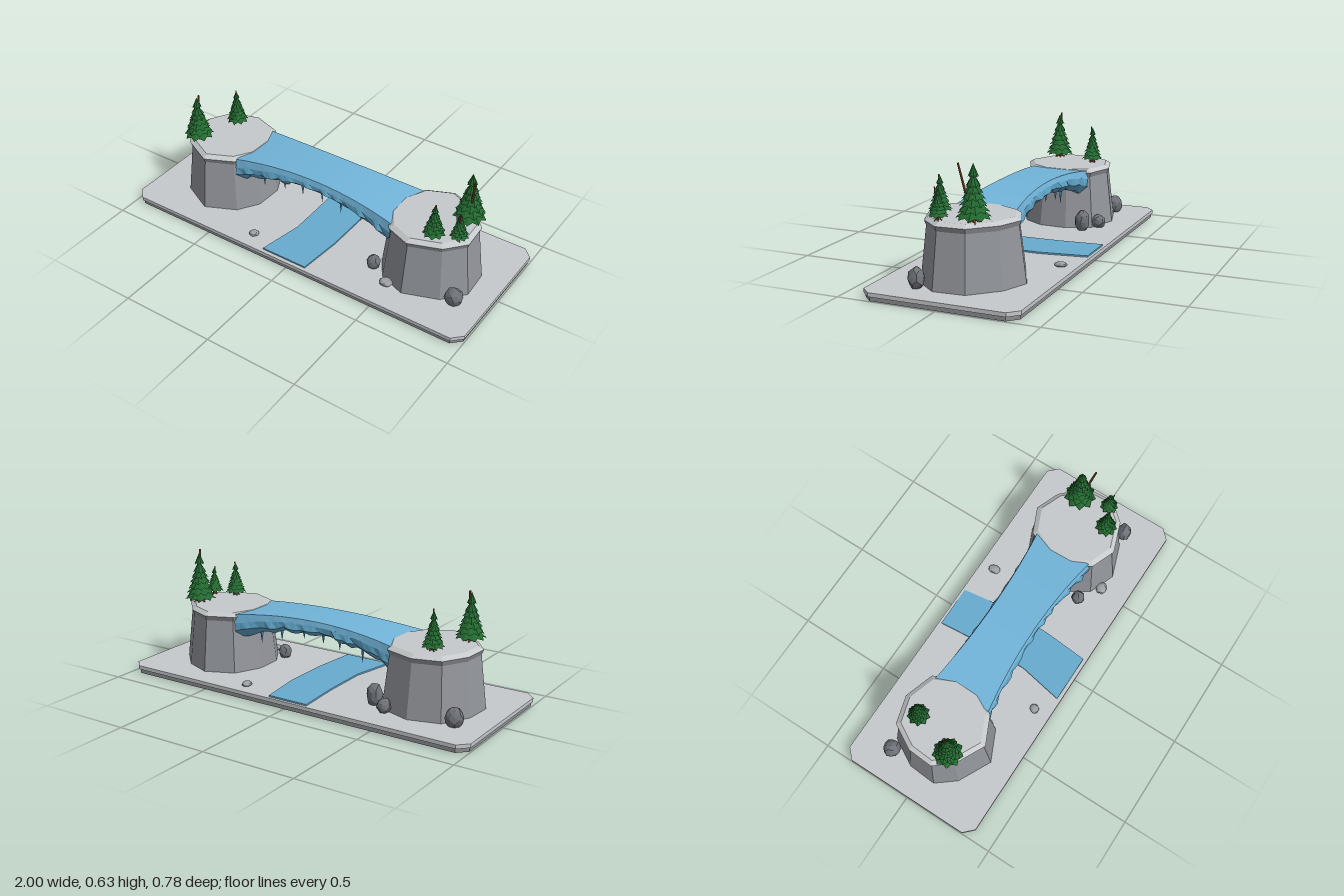
import * as THREE from 'three';

const mat = (name, color, extra = {}) => {
  const m = new THREE.MeshStandardMaterial({ color, flatShading: true, ...extra });
  m.name = name;
  return m;
};
const M = {
  snow: mat('pale snow', 0xc6c9cb),
  stone: mat('cliff stone', 0x92959b),
  plinth: mat('plinth grey', 0x8a8d91),
  rock: mat('dark rock', 0x6e7278),
  pebble: mat('pebble grey', 0x9da1a5),
  ice: mat('ice', 0x72b5da),
  deepIce: mat('deep ice', 0x5fa5c9),
  water: mat('frozen stream', 0x68abd0),
  needles: mat('pine green', 0x22672f, { side: THREE.DoubleSide }),
  bark: mat('bark', 0x7d4c2a),
};

// repeatable small variation in -1..1
const wobble = (n) => {
  const s = Math.sin(n * 127.1 + 3.7) * 43758.5453;
  return (s - Math.floor(s)) * 2 - 1;
};

function add(parent, name, geometry, material) {
  const mesh = new THREE.Mesh(geometry, material);
  mesh.name = name;
  parent.add(mesh);
  return mesh;
}

// Skin closed rings of [x, y, z]; optional flat fans close the ends
function loft(rings, capStart, capEnd) {
  const pos = [];
  const n = rings[0].length;
  const tri = (...p) => p.forEach((v) => pos.push(...v));
  for (let i = 0; i < rings.length - 1; i++) {
    for (let j = 0; j < n; j++) {
      const k = (j + 1) % n;
      tri(rings[i][j], rings[i][k], rings[i + 1][k]);
      tri(rings[i][j], rings[i + 1][k], rings[i + 1][j]);
    }
  }
  const fan = (ring, flip) => {
    const c = [0, 1, 2].map((a) => ring.reduce((s, p) => s + p[a], 0) / n);
    ring.forEach((p, j) => {
      const q = ring[(j + 1) % n];
      flip ? tri(c, q, p) : tri(c, p, q);
    });
  };
  if (capStart) fan(rings[0], true);
  if (capEnd) fan(rings[rings.length - 1], false);
  const g = new THREE.BufferGeometry();
  g.setAttribute('position', new THREE.Float32BufferAttribute(pos, 3));
  g.computeVertexNormals();
  return g;
}

// Flat outline in x/z raised from y0 to y1
function slab(points, y0, y1) {
  const shape = new THREE.Shape(points.map(([x, z]) => new THREE.Vector2(x, -z)));
  return new THREE.ExtrudeGeometry(shape, { depth: y1 - y0, bevelEnabled: false })
    .rotateX(-Math.PI / 2).translate(0, y0, 0);
}

// Tapered rod between two points
function rod(a, b, r0, r1, sides = 6) {
  const from = new THREE.Vector3(...a);
  const dir = new THREE.Vector3(...b).sub(from);
  const len = dir.length();
  const q = new THREE.Quaternion().setFromUnitVectors(new THREE.Vector3(0, 1, 0), dir.normalize());
  return new THREE.CylinderGeometry(r1, r0, len, sides).translate(0, len / 2, 0)
    .applyQuaternion(q).translate(...a);
}

function makeCliff(name, cx, outline) {
  const g = new THREE.Group();
  g.name = name;
  const ring = (s, y) => outline.map(([x, z]) => [cx + (x - cx) * s, y, z * s]);
  add(g, 'cliffBody', loft([ring(1, 0.04), ring(0.87, 0.315), ring(0.91, 0.34)]), M.stone);
  add(g, 'snowCap', loft([ring(0.91, 0.34), ring(0.81, 0.357)], false, true), M.snow);
  return g;
}

function makeBridge() {
  const g = new THREE.Group();
  g.name = 'iceBridge';
  const deck = [], under = [];
  const steps = 26;
  for (let i = 0; i <= steps; i++) {
    const x = -0.47 + (0.94 * i) / steps;
    const t = (x / 0.47) ** 2;
    const top = 0.384 - 0.034 * t;
    const w = 0.122 + 0.036 * t;
    const rim = top - 0.026 - 0.02 * t;
    const low = 0.308 - 0.09 * t;
    const [a, b, c, d] = [1, 2, 3, 4].map((k) => wobble(i * 5 + k));
    const at = (y, z) => [x, y, z];
    deck.push([at(top, -w), at(top, w), at(rim + a * 0.004, w + 0.009), at(rim + b * 0.004, -w - 0.009)]);
    const mid = (rim + low) / 2;
    under.push([
      at(rim + 0.004, -w - 0.007), at(rim + 0.004, w + 0.007),
      at(mid + c * 0.007, w + 0.012 + a * 0.009), at(low + a * 0.01, w * 0.82),
      at(low + 0.012 + d * 0.006, 0),
      at(low + b * 0.01, -w * 0.82), at(mid + d * 0.007, -w - 0.012 + b * 0.009),
    ]);
  }
  add(g, 'bridgeDeck', loft(deck, true, true), M.ice);
  add(g, 'bridgeUnderside', loft(under, true, true), M.deepIce);
  // hanging icicles along both lower edges
  for (let i = 0; i < 12; i++) {
    const x = -0.33 + i * 0.06 + wobble(i) * 0.012;
    const y = 0.315 - 0.09 * (x / 0.47) ** 2;
    const len = 0.065 + wobble(i + 40) * 0.022;
    const z = (i % 2 ? -1 : 1) * (0.09 + wobble(i + 9) * 0.015);
    add(g, 'icicle', rod([x, y, z], [x, y - len, z], 0.009, 0.0005, 5), M.deepIce);
  }
  return g;
}

function makeTree(x, z, top, r, lean) {
  const g = new THREE.Group();
  g.name = 'pineTree';
  const ground = 0.355, start = ground + 0.02, h = top - start;
  const tiers = 7, points = 9;
  for (let k = 0; k < tiers; k++) {
    const f = k / tiers;
    const tierH = h * (0.3 - 0.06 * f);
    const y = start + f * (h - h * 0.2);
    const geo = new THREE.ConeGeometry(r * (1 - 0.8 * f), tierH, points * 2, 1, true);
    const p = geo.attributes.position;
    // alternate rim corners form drooping branch tips
    for (let i = 0; i < p.count; i++) {
      if (p.getY(i) > 0) continue;
      const inner = i % 2;
      if (inner) p.setXYZ(i, p.getX(i) * 0.8, p.getY(i) + tierH * 0.13, p.getZ(i) * 0.8);
    }
    geo.rotateY(k * 0.4).translate(x, y + tierH / 2, z);
    if (k === tiers - 1) geo.translate(0, top - y - tierH, 0);
    add(g, 'branches', geo, M.needles);
  }
  // leaning trunk that shows past the needles
  add(g, 'trunk', rod([x, ground - 0.01, z], [x + lean[0], top + lean[1], z + lean[2]], r * 0.1, r * 0.06), M.bark);
  for (let i = 0; i < 5; i++) {
    const a = (i / 5) * Math.PI * 2 + x * 9;
    const foot = [x + Math.cos(a) * r * 0.4, ground - 0.004, z + Math.sin(a) * r * 0.4];
    add(g, 'root', rod([x, ground + 0.022, z], foot, r * 0.09, r * 0.04, 5), M.bark);
  }
  return g;
}

// Uneven boulder resting on the base
function makeRock(x, z, rx, height, rz, material, seed) {
  const geo = new THREE.IcosahedronGeometry(1, 1);
  const p = geo.attributes.position;
  for (let i = 0; i < p.count; i++) {
    const [a, b, c] = [p.getX(i), p.getY(i), p.getZ(i)];
    const s = 1 + 0.1 * Math.sin(a * 5 + seed) * Math.cos(b * 4 + c * 3 + seed);
    p.setXYZ(i, a * s, b * s, c * s);
  }
  geo.scale(rx, height * 0.56, rz).rotateY(seed).translate(x, 0.04 + height * 0.44, z);
  geo.computeVertexNormals();
  return geo;
}

export function createModel() {
  const model = new THREE.Group();
  model.name = 'iceBridgeDiorama';

  // base with clipped corners
  const octagon = (x, z, c) => [
    [x, z - c], [x, c - z], [x - c, -z], [c - x, -z], [-x, c - z], [-x, z - c], [c - x, z], [x - c, z],
  ];
  add(model, 'basePlinth', slab(octagon(0.993, 0.383, 0.048), 0, 0.022), M.plinth);
  add(model, 'snowyGround', slab(octagon(1, 0.39, 0.05), 0.022, 0.042), M.snow);

  // frozen stream below the bridge
  const stream = [[-0.15, 0.37], [0.11, 0.37], [0.13, 0.13], [0.13, -0.13], [0.095, -0.375],
    [-0.13, -0.375], [-0.11, -0.13], [-0.105, 0.13]];
  add(model, 'stream', slab(stream, 0.042, 0.05), M.water);

  // two cliffs
  model.add(makeCliff('rightCliff', -0.63, [
    [-0.87, 0.08], [-0.86, -0.07], [-0.78, -0.21], [-0.62, -0.255], [-0.45, -0.2],
    [-0.385, -0.07], [-0.39, 0.08], [-0.46, 0.19], [-0.62, 0.265], [-0.79, 0.18],
  ].reverse()));
  model.add(makeCliff('leftCliff', 0.63, [
    [0.875, 0.08], [0.865, -0.08], [0.74, -0.21], [0.6, -0.265], [0.45, -0.2],
    [0.385, -0.06], [0.39, 0.09], [0.46, 0.2], [0.6, 0.255], [0.78, 0.19],
  ]));

  model.add(makeBridge());

  // x, z, top, radius, trunk lean
  [
    [-0.755, 0.112, 0.6, 0.078, [0.005, 0.01, -0.012]],
    [-0.675, -0.115, 0.552, 0.058, [0.005, 0.006, 0.006]],
    [0.768, -0.08, 0.625, 0.084, [0.04, 0.003, 0.055]],
    [0.69, 0.128, 0.537, 0.058, [0.004, 0.004, 0.002]],
    [0.8, 0.08, 0.505, 0.048, [0.006, 0.004, 0.015]],
  ].forEach((t) => model.add(makeTree(...t)));

  // x, z, half width, height, half depth
  [
    [-0.84, -0.195, 0.045, 0.095, 0.045, M.rock],
    [-0.39, -0.165, 0.04, 0.11, 0.04, M.rock],
    [-0.48, -0.225, 0.04, 0.07, 0.035, M.rock],
    [0.845, 0.175, 0.04, 0.098, 0.045, M.rock],
    [0.385, 0.165, 0.035, 0.075, 0.035, M.rock],
    [0.505, 0.24, 0.034, 0.032, 0.03, M.pebble],
    [-0.26, 0.3, 0.026, 0.023, 0.024, M.pebble],
    [0.285, -0.307, 0.033, 0.025, 0.025, M.pebble],
  ].forEach(([x, z, rx, h, rz, m], i) => add(model, 'rock', makeRock(x, z, rx, h, rz, m, i * 0.7), m));

  return model;
}
